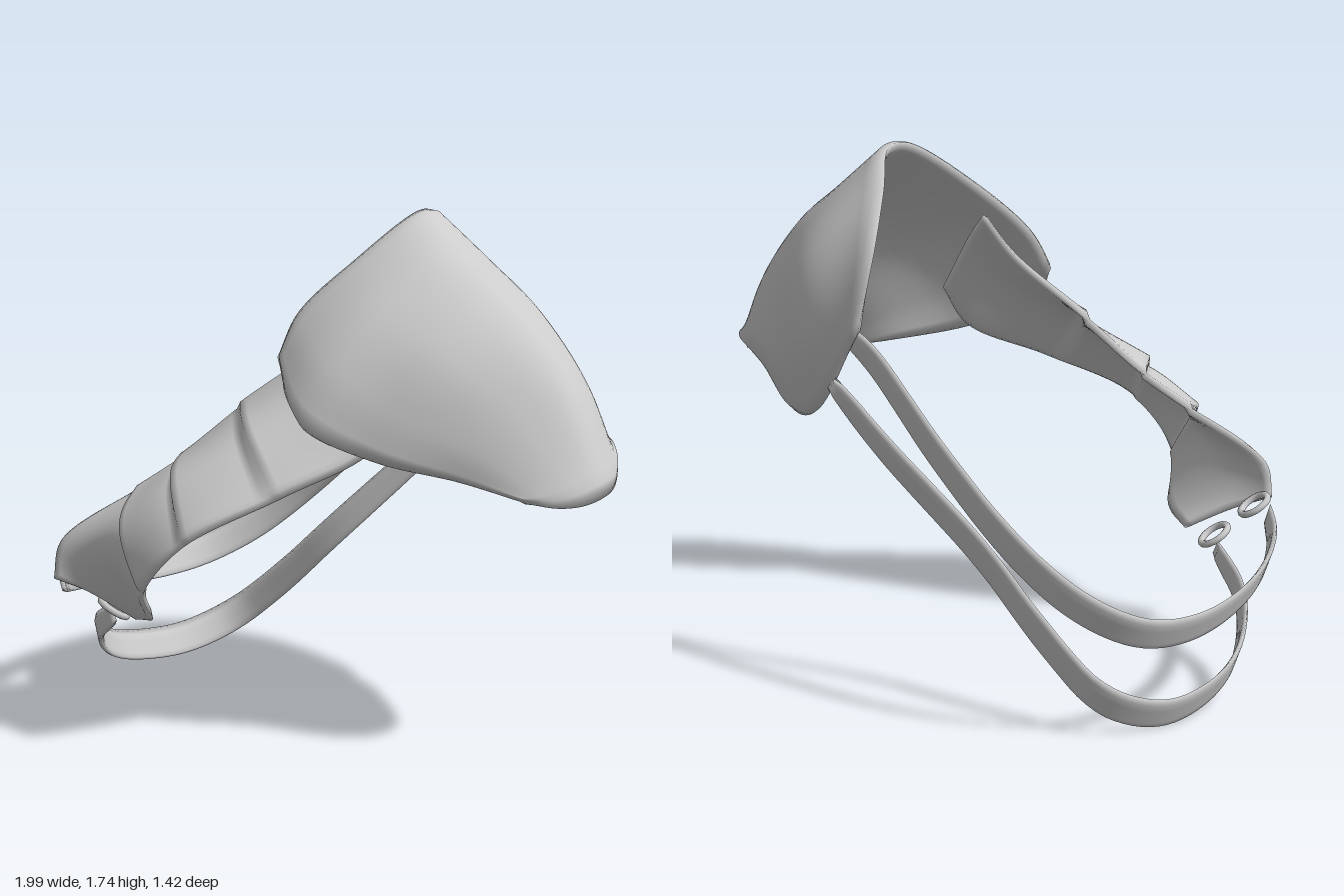
import * as THREE from 'three';
import { mergeVertices } from 'three/addons/utils/BufferGeometryUtils.js';

const material = new THREE.MeshStandardMaterial({ color: 0xcccccc });
const vec = (p) => new THREE.Vector3(...p);

// Closed, soft-edged sheet lofted smoothly through rows of points.
// fold(u, v) pushes the surface along its normal.
function sheet(name, rows, nu, nv, thickness, fold = () => 0) {
  const across = rows.map((r) => new THREE.CatmullRomCurve3(r.map(vec)));
  const P = [];
  for (let i = 0; i <= nu; i++) {
    const line = new THREE.CatmullRomCurve3(across.map((c) => c.getPoint(i / nu)));
    P.push(Array.from({ length: nv + 1 }, (_, j) => line.getPoint(j / nv)));
  }
  const pos = [];
  for (const side of [0.5, -0.5]) {
    for (let i = 0; i <= nu; i++) {
      for (let j = 0; j <= nv; j++) {
        const du = P[Math.min(i + 1, nu)][j].clone().sub(P[Math.max(i - 1, 0)][j]);
        const dv = P[i][Math.min(j + 1, nv)].clone().sub(P[i][Math.max(j - 1, 0)]);
        const n = dv.cross(du).normalize();
        const rim = i === 0 || j === 0 || i === nu || j === nv;
        const d = fold(i / nu, j / nv) + (rim ? 0 : side * thickness);
        pos.push(...n.multiplyScalar(d).add(P[i][j]).toArray());
      }
    }
  }
  const index = [];
  const w = nv + 1, back = (nu + 1) * w;
  for (let i = 0; i < nu; i++) {
    for (let j = 0; j < nv; j++) {
      const a = i * w + j, b = a + w, c = a + 1, d = b + 1;
      index.push(a, c, b, b, c, d);
      index.push(back + a, back + b, back + c, back + b, back + d, back + c);
    }
  }
  let geo = new THREE.BufferGeometry();
  geo.setAttribute('position', new THREE.Float32BufferAttribute(pos, 3));
  geo.setIndex(index);
  geo = mergeVertices(geo, 1e-5);
  geo.computeVertexNormals();
  const mesh = new THREE.Mesh(geo, material);
  mesh.name = name;
  return mesh;
}

// Flat band following a path, narrowing at both ends
function strap(name, points) {
  const path = new THREE.CatmullRomCurve3(points.map(vec));
  const rows = [];
  for (let k = 0; k <= 24; k++) {
    const t = k / 24;
    const c = path.getPoint(t), tan = path.getTangent(t);
    const side = new THREE.Vector3(-0.4, 0.9, -0.1);
    side.addScaledVector(tan, -side.dot(tan)).normalize();
    side.multiplyScalar(0.03 + 0.03 * Math.sqrt(Math.sin(Math.PI * t)));
    rows.push([c.clone().sub(side).toArray(), c.clone().add(side).toArray()]);
  }
  return sheet(name, rows, 6, 60, 0.016);
}

export function createModel() {
  const model = new THREE.Group();

  // Shoulder shell: each row runs front to back, rows go from neck to arm
  model.add(sheet('shoulderShell', [
    [[-0.02, 1.28, 0.21], [-0.01, 1.42, 0.12], [0.1, 1.59, -0.04], [0.17, 1.73, -0.25],
      [0.15, 1.73, -0.36], [0.03, 1.62, -0.49], [-0.07, 1.46, -0.62], [-0.05, 1.21, -0.675]],
    [[0.2, 1.1, 0.34], [0.25, 1.28, 0.24], [0.32, 1.47, 0.05], [0.38, 1.6, -0.2],
      [0.36, 1.55, -0.42], [0.25, 1.38, -0.63], [0.18, 1.15, -0.685], [0.2, 0.91, -0.63]],
    [[0.42, 1.0, 0.24], [0.46, 1.15, 0.19], [0.54, 1.33, 0.06], [0.6, 1.46, -0.17],
      [0.58, 1.42, -0.38], [0.5, 1.25, -0.54], [0.42, 1.05, -0.61], [0.4, 0.85, -0.57]],
    [[0.64, 0.94, 0.08], [0.7, 1.02, 0.04], [0.77, 1.14, -0.06], [0.82, 1.23, -0.2],
      [0.8, 1.2, -0.35], [0.72, 1.12, -0.47], [0.65, 1.05, -0.53], [0.58, 0.96, -0.53]],
    [[0.85, 0.89, 0], [0.93, 0.88, -0.05], [0.98, 0.885, -0.11], [1.0, 0.9, -0.18],
      [0.99, 0.92, -0.26], [0.94, 0.97, -0.35], [0.85, 1.01, -0.44], [0.74, 1.01, -0.49]],
  ], 48, 36, 0.035));

  // Chest panel lining the shell, with overlapping creases down to a scooped end
  const crease = (u, v) => [0.35, 0.51, 0.675].reduce((sum, at) => {
    const d = v - at;
    return sum + 0.02 * (d < 0 ? Math.exp(d / 0.06) : -0.8 * Math.exp(-d / 0.05));
  }, 0) * Math.sqrt(Math.max(0, Math.sin(Math.PI * u)));
  model.add(sheet('chestPanel', [
    [[0.12, 1.47, 0.03], [0.27, 1.36, 0.1], [0.42, 1.16, 0.12]],
    [[0.08, 1.32, 0.14], [0.23, 1.22, 0.21], [0.38, 1.02, 0.2]],
    [[-0.11, 1.14, 0.25], [0.08, 1.06, 0.41], [0.23, 0.89, 0.45]],
    [[-0.3, 0.94, 0.36], [-0.12, 0.9, 0.58], [0.02, 0.74, 0.68]],
    [[-0.42, 0.83, 0.45], [-0.28, 0.74, 0.65], [-0.15, 0.56, 0.7]],
    [[-0.63, 0.64, 0.63], [-0.46, 0.57, 0.61], [-0.26, 0.42, 0.56]],
    [[-0.64, 0.51, 0.66], [-0.53, 0.46, 0.58], [-0.4, 0.38, 0.49]],
  ], 24, 72, 0.025, crease));

  // Rings joining the panel to the straps
  [[-0.63, 0.5, 0.575], [-0.53, 0.39, 0.49]].forEach((p, k) => {
    const ring = new THREE.Mesh(new THREE.TorusGeometry(0.052, 0.012, 8, 24), material);
    ring.position.set(...p);
    ring.lookAt(p[0] + 0.35, p[1] + 0.85, p[2] - 0.45);
    ring.name = k ? 'lowerRing' : 'upperRing';
    model.add(ring);
  });

  // Two straps running round under the arm to the back of the shell
  model.add(strap('upperStrap', [
    [-0.67, 0.48, 0.6], [-0.8, 0.44, 0.46], [-0.93, 0.39, 0.2], [-0.97, 0.35, -0.1],
    [-0.93, 0.37, -0.32], [-0.81, 0.46, -0.47], [-0.63, 0.62, -0.57],
    [-0.35, 0.87, -0.62], [-0.08, 1.12, -0.64], [0.02, 1.2, -0.665]]));
  model.add(strap('lowerStrap', [
    [-0.56, 0.36, 0.46], [-0.75, 0.25, 0.37], [-0.87, 0.13, 0.2], [-0.91, 0.07, 0],
    [-0.89, 0.06, -0.2], [-0.8, 0.13, -0.36], [-0.6, 0.3, -0.42],
    [-0.38, 0.51, -0.46], [-0.08, 0.83, -0.6], [0.1, 1.02, -0.66]]));

  return model;
}
